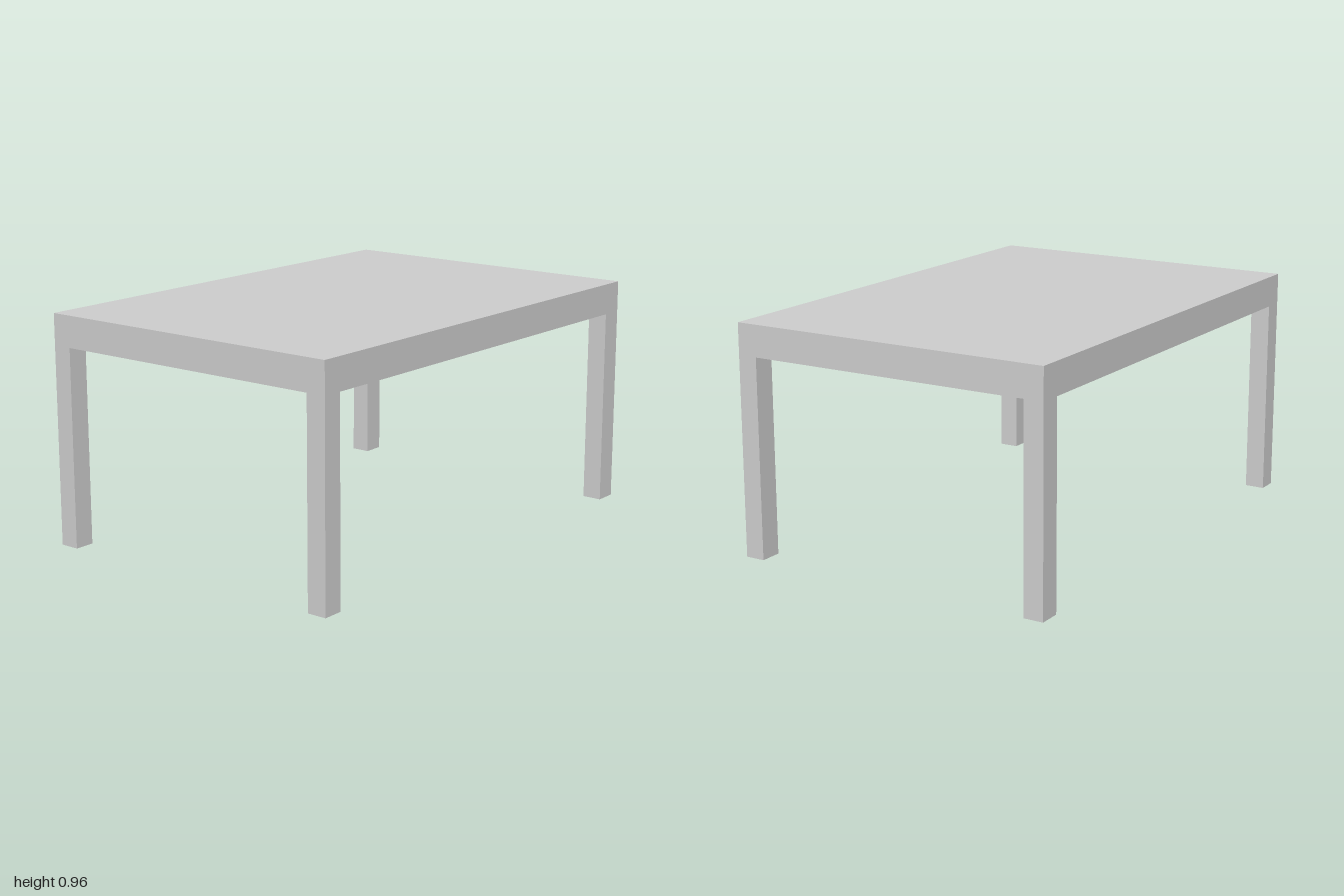
import * as THREE from 'three';

const WIDTH = 2, DEPTH = 1.376, HEIGHT = 0.957, SLAB = 0.13;

export function createModel() {
  const table = new THREE.Group();
  table.name = 'table';
  const material = new THREE.MeshStandardMaterial({ color: 0xcccccc, flatShading: true });

  const addBox = (name, w, h, d, x, y, z) => {
    const mesh = new THREE.Mesh(new THREE.BoxGeometry(w, h, d), material);
    mesh.name = name;
    mesh.position.set(x, y, z);
    table.add(mesh);
  };

  // thick solid top
  addBox('tableTop', WIDTH, SLAB, DEPTH, 0, HEIGHT - SLAB / 2, 0);

  // four legs flush with the corners; the left pair is slightly wider
  const legHeight = HEIGHT - SLAB, legDepth = 0.083;
  for (const [side, sx, legWidth] of [['Left', 1, 0.094], ['Right', -1, 0.086]]) {
    for (const [end, sz] of [['front', 1], ['back', -1]]) {
      addBox(`${end}${side}Leg`, legWidth, legHeight, legDepth,
        sx * (WIDTH - legWidth) / 2, legHeight / 2, sz * (DEPTH - legDepth) / 2);
    }
  }
  return table;
}
